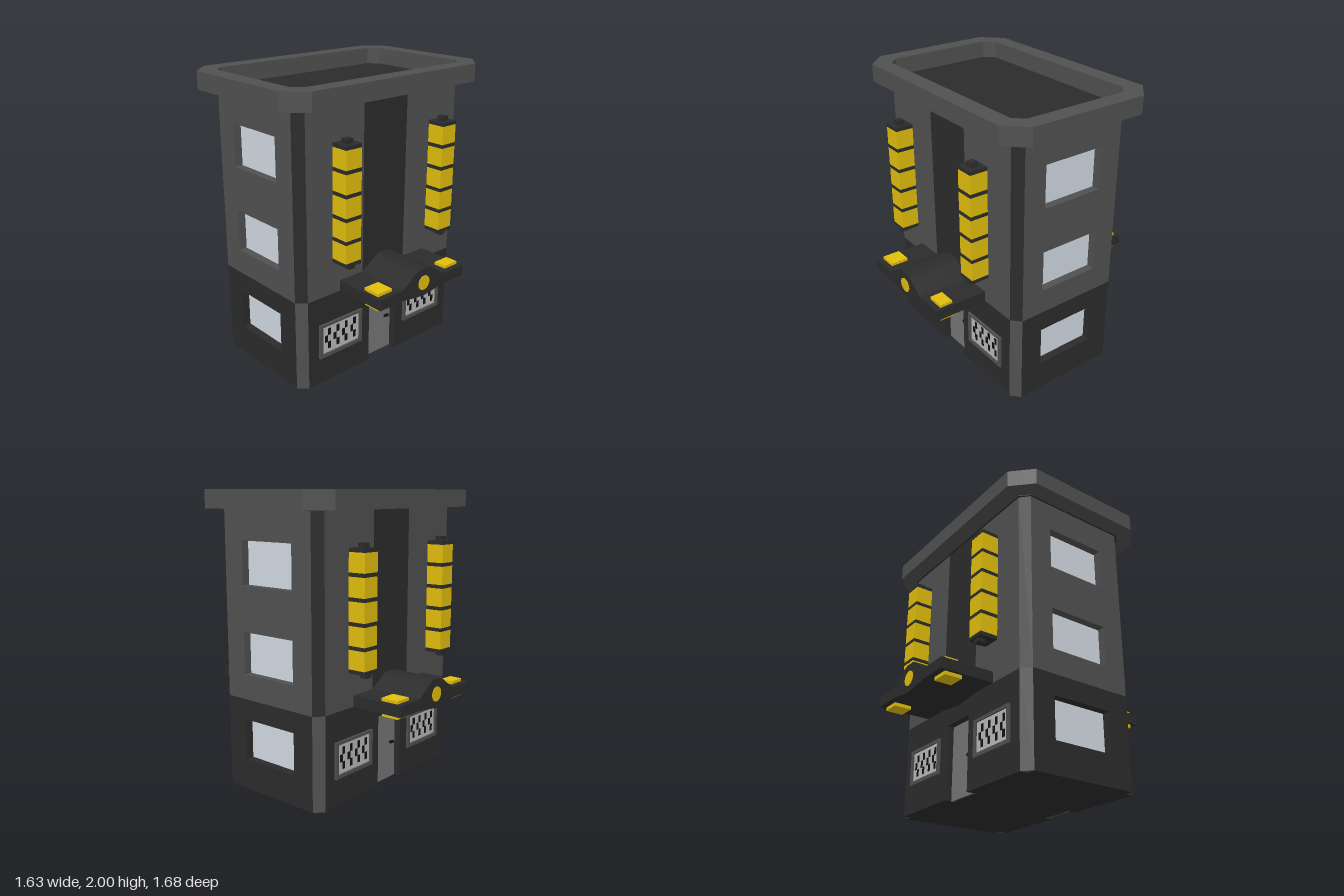
import * as THREE from 'three';

const mat = (color) => new THREE.MeshStandardMaterial({ color, flatShading: true });
const M = {
  dark: mat(0x2b2b2b), grey: mat(0x505050), door: mat(0x757575), panel: mat(0xb8b8b8),
  glass: mat(0xd0d8e0), yellow: mat(0xe0bd0c), black: mat(0x101010),
};

const HX = 0.435, HZ = 0.72;   // half size of the tower
const FX = 0.38, FZ = 0.66;    // half size of the flat wall faces
const SPLIT = 0.63, TOP = 1.88;

function add(parent, name, geometry, material) {
  const mesh = new THREE.Mesh(geometry, material);
  mesh.name = name;
  parent.add(mesh);
  return mesh;
}

// Box given by its limits on each axis
function box(parent, name, material, x0, x1, y0, y1, z0, z1) {
  const g = new THREE.BoxGeometry(x1 - x0, y1 - y0, z1 - z0);
  g.translate((x0 + x1) / 2, (y0 + y1) / 2, (z0 + z1) / 2);
  return add(parent, name, g, material);
}

const points = (list) => list.map(([x, y]) => new THREE.Vector2(x, y));
const rect = (x0, x1, y0, y1) => points([[x0, y0], [x1, y0], [x1, y1], [x0, y1]]);

// Rectangle with cut corners, in plan
const octagon = (x, z, c, d = c) => points([
  [x - c, -z], [x, d - z], [x, z - d], [x - c, z], [c - x, z], [-x, z - d], [-x, d - z], [c - x, -z]]);

function extrude(outline, holes, from, to) {
  const shape = new THREE.Shape(outline);
  shape.holes = holes.map((h) => new THREE.Path(h));
  return new THREE.ExtrudeGeometry(shape, { depth: to - from, bevelEnabled: false }).translate(0, 0, from);
}

// Plan outline pulled upwards
const upright = (outline, holes, y0, y1) => extrude(outline, holes, y0, y1).rotateX(-Math.PI / 2);

// End wall with three recessed windows
function endWall() {
  const g = new THREE.Group();
  g.name = 'endWall';
  const low = [[0.21, 0.49]], high = [[0.8, 1.085], [1.39, 1.68]];
  const holes = (rows) => rows.map(([a, b]) => rect(-0.22, 0.22, a, b));
  add(g, 'lowerEndWall', extrude(rect(-FX, FX, 0, SPLIT), holes(low), FZ, HZ), M.dark);
  add(g, 'upperEndWall', extrude(rect(-FX, FX, SPLIT, TOP), holes(high), FZ, HZ), M.grey);
  for (const [a, b] of [...low, ...high]) box(g, 'windowPane', M.glass, -0.22, 0.22, a, b, FZ - 0.01, FZ + 0.005);
  return g;
}

// Framed window with a chequered grille
function grilleWindow(u) {
  const g = new THREE.Group();
  g.name = 'grilleWindow';
  add(g, 'windowFrame', extrude(rect(-0.185, 0.185, 0.19, 0.435), [rect(-0.16, 0.16, 0.215, 0.415)], HX - 0.01, 0.45), M.grey);
  box(g, 'grillePanel', M.panel, -0.16, 0.16, 0.215, 0.415, HX - 0.01, HX + 0.004);
  [0.267, 0.317, 0.367].forEach((y, row) => {
    for (let i = 0; i < 4; i++) {
      const x = -0.125 + i * 0.0745 + (row === 1 ? 0 : 0.024);
      box(g, 'grilleOpening', M.black, x - 0.012, x + 0.012, y - 0.025, y + 0.025, HX, HX + 0.006);
    }
  });
  g.position.x = u;
  return g;
}

// Hanging lantern made of five stacked blocks
function lantern(u) {
  const g = new THREE.Group();
  g.name = 'lantern';
  const r = 0.0625, c = 0.5375;
  const slab = (name, m, y0, y1) => box(g, name, m, -r, r, y0, y1, c - r, c + r);
  const cuts = [0.89, 1.04, 1.19, 1.342, 1.493, 1.642];
  cuts.forEach((y, i) => {
    slab('lanternBand', M.dark, y - 0.0125, y + 0.0125);
    if (i < 5) slab('lanternBlock', M.yellow, y + 0.0125, cuts[i + 1] - 0.0125);
  });
  box(g, 'lanternTopKnob', M.dark, -0.025, 0.025, 1.654, 1.685, c - 0.023, c + 0.027);
  box(g, 'lanternBottomKnob', M.dark, -0.025, 0.025, 0.85, 0.878, c, c + 0.05);
  g.position.x = u;
  return g;
}

// Porch roof with a raised middle, lamps and a round badge
function canopy() {
  const g = new THREE.Group();
  g.name = 'canopy';
  const half = [[0.19, 0.63], [0.39, 0.63], [0.39, 0.705], [0.19, 0.705], [0.075, 0.785], [0.035, 0.8]];
  const mirrored = half.map(([x, y]) => [-x, y]).reverse();
  add(g, 'canopyRoof', extrude(points([[0, 0.605], ...half, ...mirrored]), [], HX - 0.01, 0.81), M.dark);
  const disc = new THREE.CylinderGeometry(0.05, 0.05, 0.01, 32).rotateX(Math.PI / 2).translate(0, 0.7, 0.809);
  add(g, 'canopyDisc', disc, M.yellow);
  for (const s of [-1, 1]) {
    const a = s * 0.31 - 0.06, b = s * 0.31 + 0.06;
    box(g, 'upperLamp', M.yellow, a, b, 0.7, 0.725, s < 0 ? 0.645 : 0.68, 0.77);
    box(g, 'lowerLamp', M.yellow, a, b, 0.606, 0.635, 0.65, 0.77);
  }
  return g;
}

// Long side, built facing +z and then turned to face +x
function longSide() {
  const g = new THREE.Group();
  g.name = 'longSide';
  // Lower wall around the door opening
  box(g, 'doorLintel', M.dark, -0.125, 0.125, 0.5, SPLIT, FX, HX);
  box(g, 'door', M.door, -0.125, 0.125, 0, 0.5, FX - 0.01, FX + 0.008);
  box(g, 'doorHandle', M.black, 0.062, 0.1, 0.252, 0.266, FX, FX + 0.025);
  box(g, 'wallStrip', M.dark, -0.19, 0.19, SPLIT, TOP, FX, HX);
  for (const s of [-1, 1]) {
    const span = (a, b) => (s > 0 ? [a, b] : [-b, -a]);
    box(g, 'lowerSideWall', M.dark, ...span(0.125, FZ), 0, SPLIT, FX, HX);
    box(g, 'upperSideWall', M.grey, ...span(0.19, FZ), SPLIT, TOP, FX, HX);
    g.add(grilleWindow(s * 0.388), lantern(s * 0.424));
  }
  g.add(canopy());
  g.rotation.y = Math.PI / 2;
  return g;
}

// One end, one long side and two corners; turned half round for the rest
function halfTower() {
  const g = new THREE.Group();
  g.name = 'halfTower';
  g.add(endWall(), longSide());
  for (const s of [-1, 1]) {
    const corner = points([[FX, s * FZ], [HX, s * FZ], [FX, s * HZ]]);
    add(g, 'lowerCorner', upright(corner, [], 0, SPLIT), M.grey);
    add(g, 'upperCorner', upright(corner, [], SPLIT, TOP), M.dark);
  }
  return g;
}

export function createModel() {
  const model = new THREE.Group();
  model.name = 'tower';
  const front = halfTower(), back = halfTower();
  back.rotation.y = Math.PI;
  model.add(front, back);
  box(model, 'core', M.dark, -FX, FX, 0, TOP, -FZ, FZ);
  // Flat roof inside a raised cornice
  add(model, 'roof', upright(octagon(0.445, 0.73, 0.06), [], TOP - 0.004, TOP + 0.004), M.dark);
  add(model, 'cornice', upright(octagon(0.56, 0.84, 0.135), [octagon(0.438, 0.72, 0.065)], TOP, 2), M.grey);
  return model;
}
